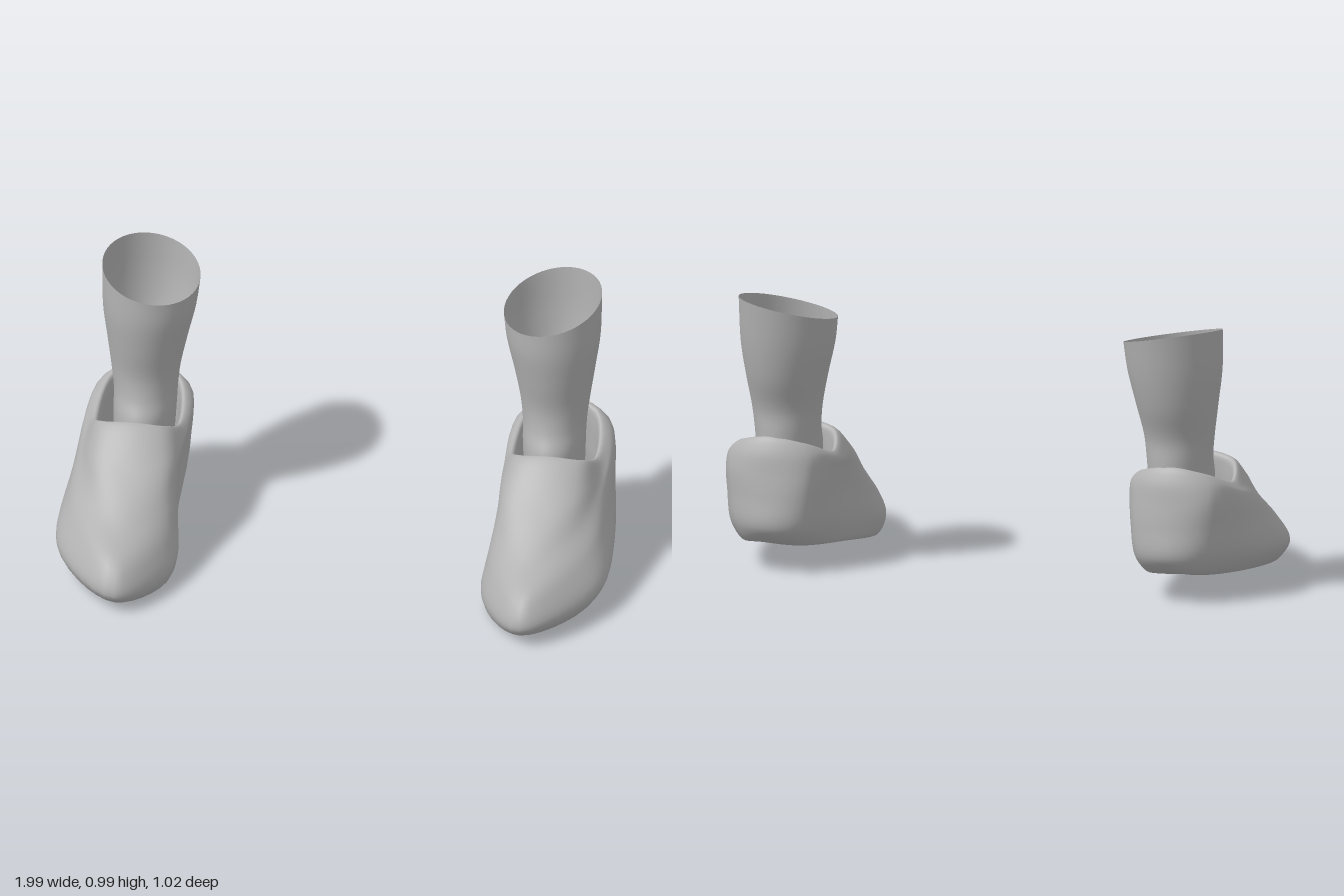
import * as THREE from 'three';

const SEG = 48;
const V = (x, y, z) => new THREE.Vector3(x, y, z);

// Shoe rings from sole edge to collar; points run toe, outer ball, outer waist,
// outer heel, heel, inner heel, inner waist, inner ball
const lowerRings = [
  [[.73, .03, .47], [.92, .03, .27], [.94, .05, 0], [.85, .105, -.42], [.76, .12, -.46], [.66, .105, -.42], [.61, .035, -.03], [.58, .004, .27]],
  [[.73, .075, .51], [.965, .10, .26], [.99, .12, .02], [.885, .17, -.44], [.76, .17, -.5], [.63, .16, -.45], [.585, .11, -.03], [.555, .07, .27]],
  [[.73, .16, .46], [.92, .20, .22], [.965, .25, -.02], [.905, .28, -.43], [.76, .27, -.49], [.61, .27, -.44], [.585, .24, -.05], [.575, .16, .24]],
];
const upperRings = [
  [[.735, .235, .29], [.88, .28, .14], [.945, .33, -.08], [.915, .37, -.42], [.76, .36, -.475], [.60, .36, -.42], [.58, .32, -.09], [.60, .265, .15]],
  [[.74, .345, .12], [.875, .375, .04], [.93, .37, -.15], [.91, .43, -.40], [.76, .44, -.458], [.60, .43, -.40], [.575, .37, -.15], [.61, .37, .04]],
  [[.745, .47, -.035], [.865, .45, -.06], [.905, .40, -.18], [.875, .465, -.39], [.76, .49, -.43], [.63, .465, -.39], [.595, .40, -.18], [.635, .45, -.06]],
];

// Leg rings: y, inner x, outer x, back z, front z
const legRings = [
  [.22, .64, .84, -.42, -.09], [.34, .63, .845, -.43, -.08], [.43, .625, .847, -.433, -.09],
  [.50, .622, .85, -.43, -.125], [.58, .613, .86, -.428, -.14], [.70, .588, .877, -.468, -.126],
  [.82, .56, .893, -.493, -.115], [.945, .548, .897, -.51, -.12],
];

// Height of the underside, rockered at the toe and tilted outward
function soleY(x, z) {
  const d = .25 - z;
  return (d > 0 ? .14 * d * d / (d + .05) : .6 * d * d) + .06 * (x - .57);
}

// Closed smooth loop through control points
function loop(points) {
  const curve = new THREE.CatmullRomCurve3(points.map(p => V(...p)), true);
  return Array.from({ length: SEG }, (_, j) => curve.getPoint(j / SEG));
}

// Smooth skin through stacked loops; side = -1 mirrors it
function skin(loops, rows, side) {
  const pos = [], index = [];
  const columns = Array.from({ length: SEG }, (_, j) =>
    new THREE.CatmullRomCurve3(loops.map(l => l[j])));
  for (let i = 0; i <= rows; i++) {
    for (const c of columns) {
      const p = c.getPoint(i / rows);
      pos.push(p.x * side, p.y, p.z);
    }
  }
  for (let i = 0; i < rows; i++) {
    for (let j = 0; j < SEG; j++) {
      const a = i * SEG + j, b = i * SEG + (j + 1) % SEG, c = a + SEG, d = b + SEG;
      if (side > 0) index.push(a, b, d, a, d, c);
      else index.push(a, d, b, a, c, d);
    }
  }
  const g = new THREE.BufferGeometry();
  g.setAttribute('position', new THREE.Float32BufferAttribute(pos, 3));
  g.setIndex(index);
  g.computeVertexNormals();
  return g;
}

function shoeGeometry(side) {
  const outer = [...lowerRings, ...upperRings].map(loop);
  // Underside closes toward the middle of the sole
  const sole = [.005, .45, .88].map(s => outer[0].map(p => {
    const x = .755 + (p.x - .755) * s, z = .02 + (p.z - .02) * s;
    return V(x, soleY(x, z), z);
  }));
  // Rolled rim and lining down to the insole
  const rim = outer[outer.length - 1];
  const inset = (s, y) => rim.map(p => V(.75 + (p.x - .75) * s, y(p.y), -.23 + (p.z + .23) * s));
  const lining = [
    inset(.93, y => y - .006), inset(.89, y => y - .05),
    inset(.88, y => y * .3 + .16), inset(.84, () => .17), inset(.005, () => .14),
  ];
  const loops = [...sole, ...outer, ...lining];
  return skin(loops, (loops.length - 1) * 6, side);
}

function legGeometry(side) {
  const loops = legRings.map(([y, x0, x1, z0, z1], i) => {
    const tilt = i === legRings.length - 1 ? 1 : 0; // slanted top cut
    return Array.from({ length: SEG }, (_, j) => {
      const a = j / SEG * Math.PI * 2, s = Math.sin(a), c = Math.cos(a);
      return V((x0 + x1) / 2 + s * (x1 - x0) / 2,
        y + tilt * (.032 * s - .027 * c),
        (z0 + z1) / 2 + c * (z1 - z0) / 2);
    });
  });
  return skin(loops, 35, side);
}

export function createModel() {
  const grey = new THREE.MeshStandardMaterial({ color: 0xb0b0b0, side: THREE.DoubleSide });
  grey.name = 'plain grey';
  const model = new THREE.Group();
  model.name = 'pairOfShoes';
  for (const [name, side] of [['left', 1], ['right', -1]]) {
    const foot = new THREE.Group();
    foot.name = name + 'Foot';
    const shoe = new THREE.Mesh(shoeGeometry(side), grey);
    shoe.name = name + 'Shoe';
    const leg = new THREE.Mesh(legGeometry(side), grey);
    leg.name = name + 'Leg';
    foot.add(shoe, leg);
    model.add(foot);
  }
  return model;
}
